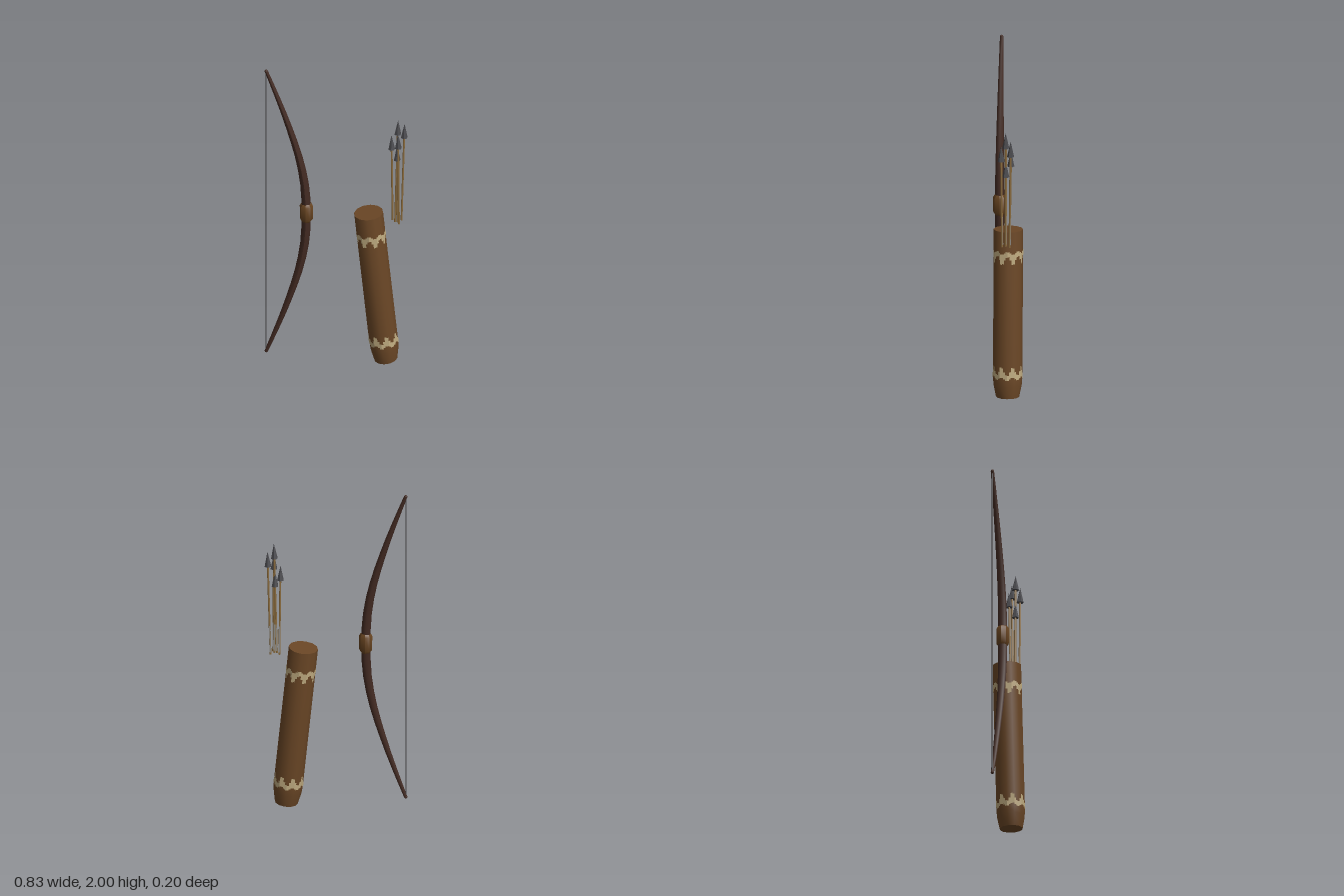
import * as THREE from 'three';
import { toCreasedNormals } from 'three/addons/utils/BufferGeometryUtils.js';

const material = (name, color) => {
  const m = new THREE.MeshStandardMaterial({ color });
  m.name = name;
  return m;
};

export function createModel() {
  const darkWood = material('dark wood', 0x422a22);
  const gripLeather = material('grip leather', 0x664320);
  const quiverLeather = material('quiver leather', 0x6b4726);
  const pattern = material('cream pattern', 0xbfab80);
  const shaftWood = material('shaft wood', 0x8f6f40);
  const feather = material('grey feather', 0x96938c);
  const steel = material('dark steel', 0x4a4a4e);
  const cord = material('cord', 0x4c4a4c);

  const model = new THREE.Group();
  model.name = 'bowAndQuiver';
  const add = (parent, name, geometry, mat, x = 0, y = 0, z = 0) => {
    const mesh = new THREE.Mesh(geometry, mat);
    mesh.name = name;
    mesh.position.set(x, y, z);
    parent.add(mesh);
    return mesh;
  };

  // Bow, centred on the grip
  const bow = new THREE.Group();
  bow.name = 'bow';
  bow.position.set(0, 1.02, 0.058);
  model.add(bow);

  // Limbs: a tube thinned towards both tips
  const half = [[-0.405, 0.972], [-0.345, 0.81], [-0.283, 0.63], [-0.212, 0.385], [-0.178, 0.19]];
  const points = [
    ...half.map(([x, y]) => new THREE.Vector3(x, -y, 0)),
    new THREE.Vector3(-0.17, 0, 0),
    ...half.slice().reverse().map(([x, y]) => new THREE.Vector3(x, y, 0)),
  ];
  const path = new THREE.CatmullRomCurve3(points);
  const rings = 20, sides = 8;
  const limbs = new THREE.TubeGeometry(path, rings, 1, sides);
  const pos = limbs.attributes.position;
  const v = new THREE.Vector3();
  for (let i = 0; i <= rings; i++) {
    const centre = path.getPointAt(i / rings);
    const radius = 0.028 - 0.018 * Math.pow(Math.abs(i / rings * 2 - 1), 1.3);
    for (let j = 0; j <= sides; j++) {
      const k = i * (sides + 1) + j;
      v.fromBufferAttribute(pos, k).sub(centre).multiplyScalar(radius).add(centre);
      pos.setXYZ(k, v.x, v.y, v.z);
    }
  }
  limbs.computeVertexNormals();
  add(bow, 'limbs', limbs, darkWood);
  for (const s of [-1, 1]) {
    add(bow, 'limbTip', new THREE.SphereGeometry(0.01, 8, 6), darkWood, -0.405, s * 0.97, 0);
  }

  // Grip wrap and string
  const gripProfile = [[0.027, -0.062], [0.038, -0.045], [0.039, 0.045], [0.027, 0.062]]
    .map(([r, y]) => new THREE.Vector2(r, y));
  add(bow, 'grip', toCreasedNormals(new THREE.LatheGeometry(gripProfile, 8), 0.6), gripLeather, -0.169, 0.013, 0);
  add(bow, 'string', new THREE.CylinderGeometry(0.004, 0.004, 1.94, 6), cord, -0.406, 0, 0);

  // Quiver, leaning towards the bow
  const quiver = new THREE.Group();
  quiver.name = 'quiver';
  quiver.position.set(0.289, 0.008, -0.012);
  quiver.rotation.z = 0.1;
  model.add(quiver);
  const R = 0.086, length = 1.008;
  const profile = [[0, 0], [0.068, 0], [0.083, 0.075], [R, 0.12], [R, length], [0, length]]
    .map(([r, y]) => new THREE.Vector2(r, y));
  add(quiver, 'quiverBody', toCreasedNormals(new THREE.LatheGeometry(profile, 12), 0.6), quiverLeather);

  // Ragged ornamental bands, one narrow plate per column around the body
  const band = (name, edge, dir) => {
    const inner = [0, 0.008, 0.016, 0.016, 0.008, 0];
    const outer = [0.03, 0.05, 0.078, 0.074, 0.05, 0.034];
    const columns = 48, verts = [];
    const at = (c, y) => {
      const a = c / columns * Math.PI * 2;
      const face = a % (Math.PI / 6) - Math.PI / 12;
      const r = (R * Math.cos(Math.PI / 12)) / Math.cos(face) + 0.0018;
      return [Math.sin(a) * r, y, Math.cos(a) * r];
    };
    for (let c = 0; c < columns; c++) {
      const a = edge + dir * inner[c % 6], b = edge + dir * outer[c % 6];
      const lo = Math.min(a, b), hi = Math.max(a, b);
      verts.push(...at(c, lo), ...at(c + 1, lo), ...at(c + 1, hi));
      verts.push(...at(c, lo), ...at(c + 1, hi), ...at(c, hi));
    }
    const g = new THREE.BufferGeometry();
    g.setAttribute('position', new THREE.Float32BufferAttribute(verts, 3));
    g.computeVertexNormals();
    add(quiver, name, g, pattern);
  };
  band('upperBand', 0.89, -1);
  band('lowerBand', 0.115, 1);

  // Arrows: tip position, then foot x and z
  const arrows = [
    [0.363, 1.67, -0.005, 0.345, -0.005],
    [0.397, 1.63, -0.036, 0.38, -0.028],
    [0.32, 1.545, -0.034, 0.328, -0.026],
    [0.366, 1.59, 0.022, 0.37, 0.016],
    [0.356, 1.49, -0.005, 0.36, -0.005],
  ];
  const footY = 0.965, headLength = 0.095;
  for (const [x, y, z, fx, fz] of arrows) {
    const foot = new THREE.Vector3(fx, footY, fz);
    const direction = new THREE.Vector3(x, y, z).sub(foot);
    const total = direction.length();
    const arrow = new THREE.Group();
    arrow.name = 'arrow';
    arrow.position.copy(foot);
    arrow.quaternion.setFromUnitVectors(new THREE.Vector3(0, 1, 0), direction.normalize());
    model.add(arrow);
    const shaftLength = total - headLength;
    add(arrow, 'shaft', new THREE.CylinderGeometry(0.006, 0.006, shaftLength, 6), shaftWood, 0, shaftLength / 2, 0);
    add(arrow, 'fletching', new THREE.BoxGeometry(0.007, 0.17, 0.004), feather, 0, 0.1, -0.005);
    const head = new THREE.ConeGeometry(0.021, headLength, 6);
    add(arrow, 'arrowhead', toCreasedNormals(head, 0.5), steel, 0, total - headLength / 2, 0);
  }
  return model;
}
